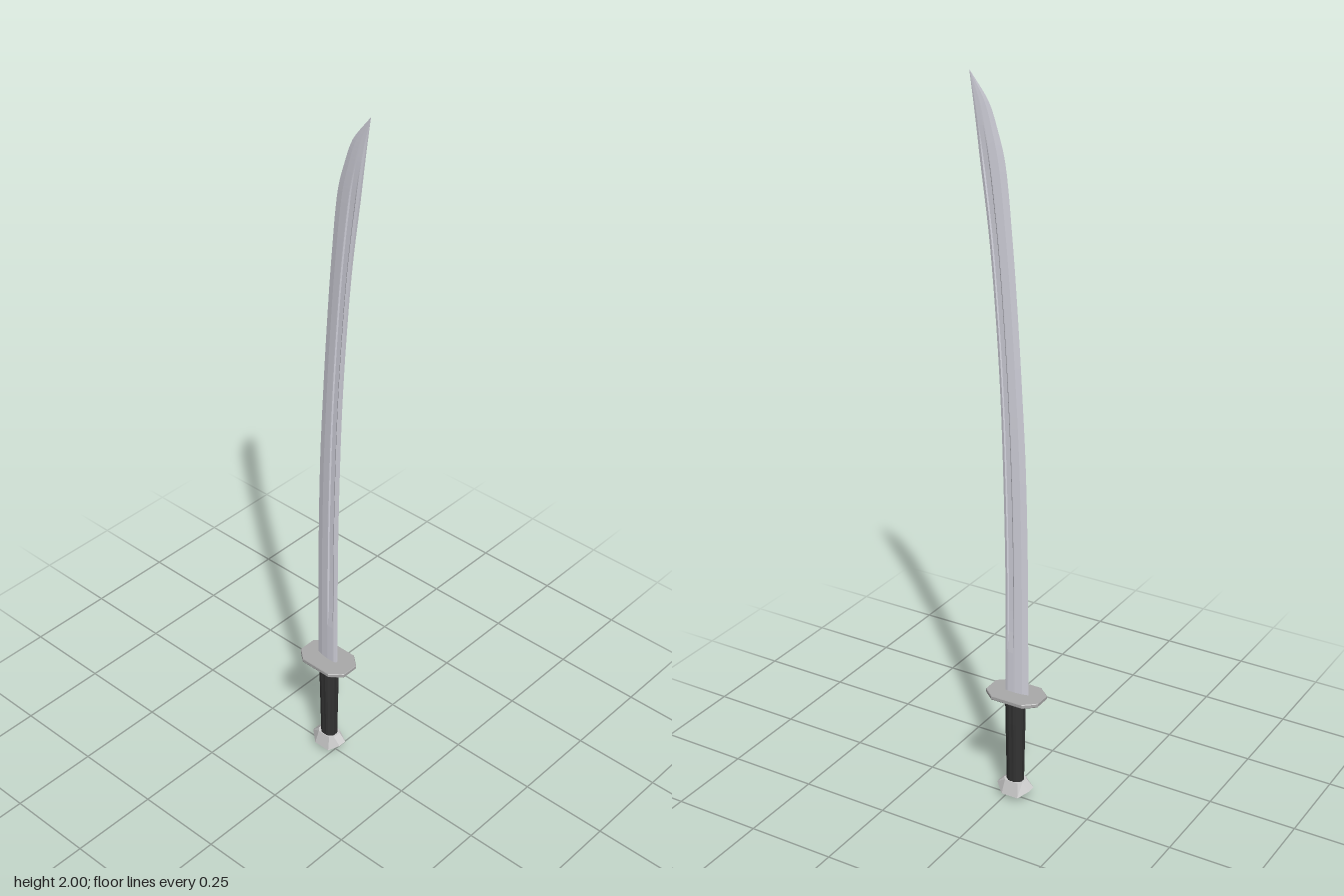
import * as THREE from 'three';

const CZ = -0.024; // centre line of the grip, in z

const material = (color) => new THREE.MeshStandardMaterial({ color, flatShading: true });

// Skin a list of rings (each runs from +x towards +z) and cap both ends
function loft(name, rings, mat) {
  const pos = [];
  const tri = (...pts) => pts.forEach((p) => pos.push(p.x, p.y, p.z));
  const n = rings[0].length;
  const middle = (ring) => ring.reduce((s, p) => s.add(p), new THREE.Vector3()).divideScalar(n);
  const first = rings[0], last = rings[rings.length - 1];
  const c0 = middle(first), c1 = middle(last);
  for (let j = 0; j < n; j++) {
    const k = (j + 1) % n;
    for (let i = 0; i < rings.length - 1; i++) {
      const a = rings[i], b = rings[i + 1];
      tri(a[j], b[j], a[k]);
      tri(a[k], b[j], b[k]);
    }
    tri(c0, first[j], first[k]);
    tri(c1, last[k], last[j]);
  }
  const geo = new THREE.BufferGeometry();
  geo.setAttribute('position', new THREE.Float32BufferAttribute(pos, 3));
  geo.computeVertexNormals();
  const mesh = new THREE.Mesh(geo, mat);
  mesh.name = name;
  return mesh;
}

// Curved blade: stations of [height, spine z, cutting edge z]
function makeBlade() {
  const stations = [
    [0.325, 0.005, -0.064], [0.7, 0.006, -0.061], [1.0, 0.013, -0.053],
    [1.2, 0.021, -0.042], [1.4, 0.034, -0.029], [1.6, 0.052, -0.013],
    [1.79, 0.077, 0.008], [1.86, 0.086, 0.027], [1.93, 0.096, 0.053], [2.0, 0.107, 0.106],
  ];
  const spine = new THREE.CatmullRomCurve3(stations.map(([y, s]) => new THREE.Vector3(0, y, s)));
  const edge = new THREE.CatmullRomCurve3(stations.map(([y, , e]) => new THREE.Vector3(0, y, e)));
  // Half section from edge (1) to spine (0): [position, half thickness, fuller depth]
  const section = [
    [0.75, 0.0042, 0], [0.45, 0.0062, 0], [0.41, 0.0063, 0], [0.36, 0.0063, 0.0025],
    [0.16, 0.006, 0.0025], [0.11, 0.0058, 0], [0.0, 0.0035, 0],
  ];
  const rings = [];
  const steps = 54;
  for (let i = 0; i <= steps; i++) {
    const s = spine.getPoint(i / steps), e = edge.getPoint(i / steps);
    const y = s.y;
    const thick = y < 1.75 ? 1 : Math.max(0.05, 1 - ((y - 1.75) / 0.25) ** 2);
    const fuller = THREE.MathUtils.clamp(Math.min((y - 0.5) / 0.02, (1.88 - y) / 0.12), 0, 1);
    const side = section.map(([t, h, d]) =>
      new THREE.Vector3((h - d * fuller) * thick, y, THREE.MathUtils.lerp(s.z, e.z, t)));
    const mirrored = side.map((p) => new THREE.Vector3(-p.x, p.y, p.z)).reverse();
    rings.push([new THREE.Vector3(0, y, e.z), ...side, ...mirrored]);
  }
  return loft('blade', rings, material(0xd4d4de));
}

// Octagonal guard plate with softened corners
function makeGuard() {
  const corners = [[0.053, 0.048], [0.03, 0.076], [0.024, 0.081]];
  const quarter = [...corners, ...corners.map(([x, z]) => [-x, z]).reverse()];
  const outline = [...quarter, ...quarter.map(([x, z]) => [-x, -z])];
  const ring = (y, k) => outline.map(([x, z]) => new THREE.Vector3(x * k, y, z * k - 0.0265));
  return loft('guard', [ring(0.32, 0.98), ring(0.322, 1), ring(0.33, 1), ring(0.332, 0.98)], material(0xaaaaaa));
}

// Faceted grip with shallow lengthwise grooves
function makeGrip() {
  const rings = [[0.045, 0.021, 0.025], [0.12, 0.022, 0.026], [0.24, 0.025, 0.028], [0.322, 0.026, 0.029]]
    .map(([y, rx, rz]) => Array.from({ length: 24 }, (_, j) => {
      const a = (j / 24) * Math.PI * 2;
      const k = j % 3 === 0 ? 0.93 : 1;
      return new THREE.Vector3(Math.cos(a) * rx * k, y, Math.sin(a) * rz * k + CZ);
    }));
  return loft('grip', rings, material(0x333333));
}

// Flared pommel, its sides hanging lower than its ends, hollow below
function makePommel() {
  const group = new THREE.Group();
  group.name = 'pommel';
  const ring = (xs, zs, xe, ze, ySide, yEnd) => [
    [xs, ySide, zs], [xe, yEnd, ze], [-xe, yEnd, ze],
    [-xs, ySide, zs], [-xs, ySide, -zs], [-xe, yEnd, -ze],
    [xe, yEnd, -ze], [xs, ySide, -zs],
  ].map(([x, y, z]) => new THREE.Vector3(x, y, z + CZ));
  group.add(loft('pommelCap', [
    ring(0.018, 0.018, 0.009, 0.03, 0.038, 0.04),
    ring(0.029, 0.024, 0.01, 0.046, 0.015, 0.034),
    ring(0.032, 0.025, 0.012, 0.051, 0.016, 0.036),
    ring(0.022, 0.02, 0.012, 0.029, 0.057, 0.057),
  ], material(0xcccccc)));
  // Small pin under the cap
  const pin = new THREE.Mesh(new THREE.CylinderGeometry(0.012, 0.004, 0.04, 8), material(0x333333));
  pin.name = 'pommelPin';
  pin.position.set(0, 0.02, CZ);
  group.add(pin);
  return group;
}

export function createModel() {
  const model = new THREE.Group();
  model.name = 'curvedSword';
  model.add(makeBlade(), makeGuard(), makeGrip(), makePommel());
  return model;
}
